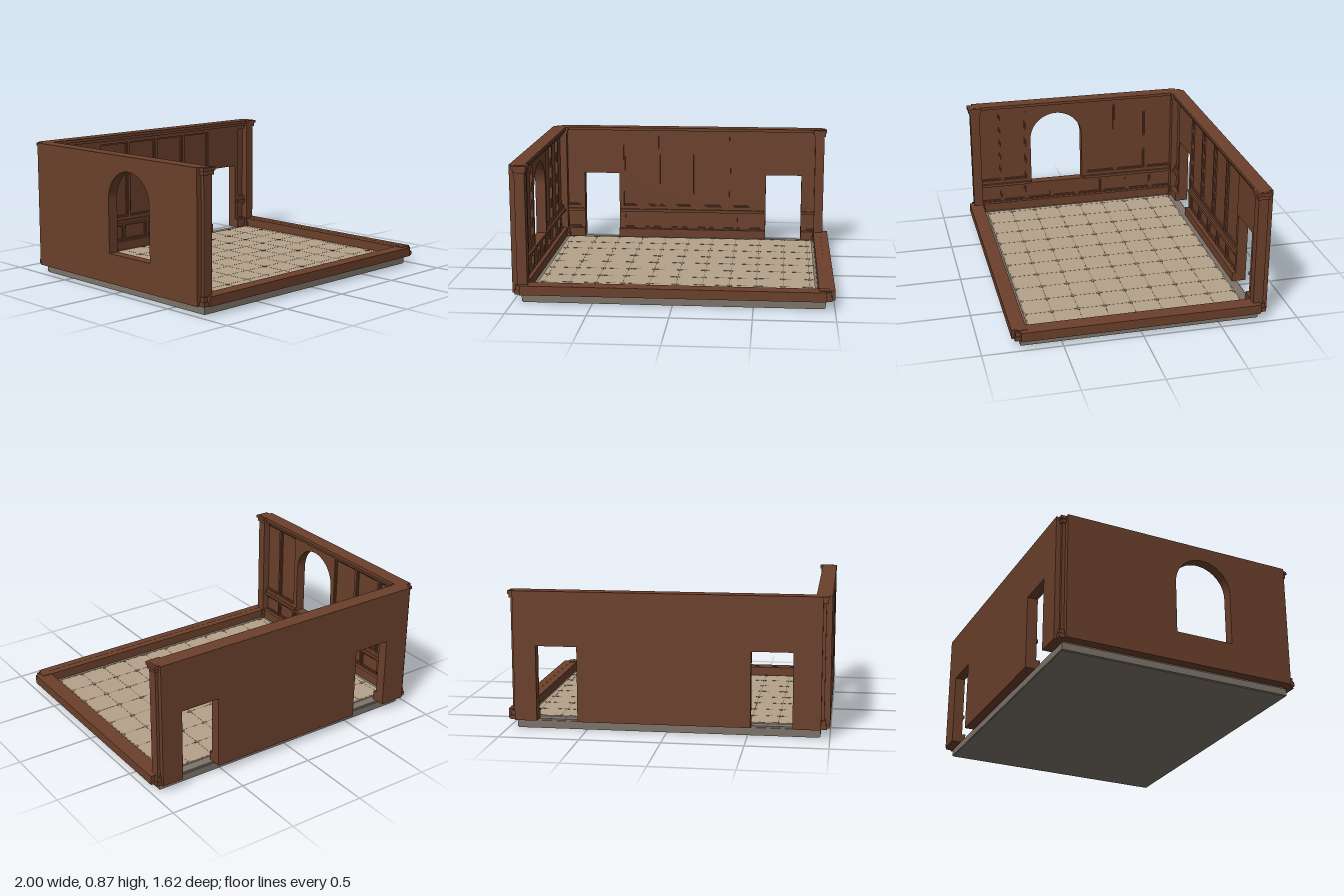
import * as THREE from 'three';

const wood = new THREE.MeshStandardMaterial({ color: 0x6b402b });
wood.name = 'brown wood';
const stone = new THREE.MeshStandardMaterial({ color: 0x7d746a });
stone.name = 'grey stone';
const tile = new THREE.MeshStandardMaterial({ color: 0xb5a28a });
tile.name = 'tan tile';
const inset = new THREE.MeshStandardMaterial({ color: 0x7a6a58 });
inset.name = 'dark inset tile';

const BOTTOM = 0.06, TOP = 0.872, CURB = 0.12;

function box(parent, name, mat, x0, x1, y0, y1, z0, z1) {
  const mesh = new THREE.Mesh(new THREE.BoxGeometry(x1 - x0, y1 - y0, z1 - z0), mat);
  mesh.position.set((x0 + x1) / 2, (y0 + y1) / 2, (z0 + z1) / 2);
  mesh.name = name;
  parent.add(mesh);
  return mesh;
}

function rect(T, x0, x1, y0, y1) {
  const p = new T();
  p.moveTo(x0, y0);
  p.lineTo(x1, y0);
  p.lineTo(x1, y1);
  p.lineTo(x0, y1);
  p.closePath();
  return p;
}

function extrude(parent, name, shape, z0, z1) {
  const geo = new THREE.ExtrudeGeometry(shape, { depth: z1 - z0, bevelEnabled: false, curveSegments: 14 });
  const mesh = new THREE.Mesh(geo, wood);
  mesh.position.z = z0;
  mesh.name = name;
  parent.add(mesh);
}

// Wall outline with door notches reaching the floor
function wallShape(x0, x1, doors, arch) {
  const s = new THREE.Shape();
  s.moveTo(x0, BOTTOM);
  for (const [a, b, h] of doors) {
    s.lineTo(a, BOTTOM);
    s.lineTo(a, h);
    s.lineTo(b, h);
    s.lineTo(b, BOTTOM);
  }
  s.lineTo(x1, BOTTOM);
  s.lineTo(x1, TOP);
  s.lineTo(x0, TOP);
  s.closePath();
  if (arch) {
    const p = new THREE.Path();
    p.moveTo(arch.x - arch.r, arch.sill);
    p.lineTo(arch.x + arch.r, arch.sill);
    p.lineTo(arch.x + arch.r, arch.spring);
    p.absarc(arch.x, arch.spring, arch.r, 0, Math.PI, false);
    p.closePath();
    s.holes.push(p);
  }
  return s;
}

// A wall stands with its outer face at z = 0 and its panelled face towards +z
function buildWall(name, o) {
  const g = new THREE.Group();
  g.name = name;
  extrude(g, 'wallCore', wallShape(o.x0, o.x1, o.doors, o.arch), 0, 0.05);

  // Recessed panels with a stepped bead
  const panelling = wallShape(o.in0, o.in1, o.doors, o.arch);
  const panels = [
    ...o.upper.map(([a, b]) => [a, b, 0.29, 0.81]),
    ...o.lower.map(([a, b]) => [a, b, CURB + 0.003, 0.23]),
  ];
  for (const [a, b, c, d] of panels) {
    panelling.holes.push(rect(THREE.Path, a, b, c, d));
    const bead = rect(THREE.Shape, a, b, c, d);
    bead.holes.push(rect(THREE.Path, a + 0.009, b - 0.009, c + 0.009, d - 0.009));
    extrude(g, 'panelBead', bead, 0.049, 0.059);
  }
  extrude(g, 'panelling', panelling, 0.049, 0.068);

  // Rails, baseboards and crown
  for (const [a, b] of o.rails) {
    box(g, 'chairRail', wood, a, b, 0.246, 0.266, 0.05, 0.082);
  }
  for (const [a, b] of o.bases) {
    box(g, 'baseboard', wood, a, b, BOTTOM, CURB, 0.05, 0.092);
  }
  [[0.818, 0.834, 0.075], [0.834, 0.852, 0.085], [0.852, TOP, 0.097]].forEach(([a, b, d]) =>
    box(g, 'crown', wood, o.in0, o.in1, a, b, 0.05, d));
  return g;
}

// Corner post with a wider foot, and a cap when it is tall
function cornerPost(parent, sx, sz, height) {
  const g = new THREE.Group();
  g.name = 'cornerPost';
  const put = (name, grow, y0, y1) => {
    const m = box(g, name, wood, -0.032 - grow, 0.032 + grow, y0, y1, -0.032 - grow, 0.032 + grow);
    m.position.x = sx * 0.933;
    m.position.z = sz * 0.746;
  };
  put('foot', 0.016, BOTTOM, 0.088);
  put('foot', 0.01, 0.088, 0.116);
  put('post', 0, BOTTOM, height);
  if (height > 0.5) {
    put('cap', 0.008, 0.826, 0.85);
    put('cap', 0.015, 0.85, height - 0.002);
  }
  parent.add(g);
}

export function createModel() {
  const model = new THREE.Group();
  model.name = 'panelledRoom';

  // Foundation slab with a slightly narrower foot and lip
  box(model, 'slab', stone, -0.943, 0.943, 0.006, 0.05, -0.757, 0.757);
  box(model, 'slabFoot', stone, -0.938, 0.938, 0, 0.006, -0.752, 0.752);
  box(model, 'slabLip', stone, -0.935, 0.935, 0.05, BOTTOM, -0.749, 0.749);

  // Tiled floor with narrow joints and diamond insets
  const floor = new THREE.Group();
  floor.name = 'floor';
  model.add(floor);
  const step = 0.1705, fx = 0.885, fz = 0.69, fy = 0.066;
  box(floor, 'floorTiles', tile, -fx, fx, BOTTOM, fy, -fz, fz);
  for (let i = -5; i <= 5; i++) {
    box(floor, 'joint', inset, i * step - 0.0015, i * step + 0.0015, fy - 0.001, fy + 0.0006, -fz, fz);
  }
  for (let j = -4; j <= 4; j++) {
    box(floor, 'joint', inset, -fx, fx, fy - 0.001, fy + 0.0006, j * step - 0.0015, j * step + 0.0015);
  }
  for (let i = -5; i <= 5; i++) {
    for (let j = -4; j <= 4; j++) {
      const edge = Math.abs(j) === 4;
      const d = new THREE.Mesh(new THREE.CylinderGeometry(0.021, 0.021, 0.003, edge ? 2 : 4, 1, false,
        edge && j < 0 ? -Math.PI / 2 : edge ? Math.PI / 2 : 0, edge ? Math.PI : Math.PI * 2), inset);
      d.position.set(i * step, fy, j * step);
      d.name = 'diamondInset';
      floor.add(d);
    }
  }

  // Back wall with two doorways
  const back = buildWall('backWall', {
    x0: -0.947, x1: 0.947, in0: -0.945, in1: 0.945,
    doors: [[-0.775, -0.52, 0.532], [0.55, 0.807, 0.532]],
    upper: [[-0.925, -0.8], [-0.487, -0.25], [-0.23, 0.005], [0.025, 0.268], [0.285, 0.522], [0.838, 0.925]],
    lower: [[-0.925, -0.8], [-0.487, -0.295], [-0.278, -0.085], [-0.067, 0.118], [0.132, 0.32],
      [0.336, 0.522], [0.838, 0.925]],
    rails: [[-0.945, -0.782], [-0.506, 0.54], [0.816, 0.942]],
    bases: [[-0.945, -0.775], [-0.52, 0.55], [0.807, 0.945]],
  });
  back.position.z = -0.81;
  model.add(back);

  // Side wall with an arched window
  const side = buildWall('archWall', {
    x0: -0.757, x1: 0.757, in0: -0.755, in1: 0.755, doors: [],
    arch: { x: -0.155, r: 0.19, sill: 0.25, spring: 0.59 },
    upper: [[-0.735, -0.567], [-0.553, -0.38], [0.07, 0.282], [0.302, 0.512], [0.53, 0.735]],
    lower: [[-0.735, -0.567], [-0.557, -0.39], [-0.378, -0.2], [-0.188, -0.01], [0.004, 0.18],
      [0.194, 0.376], [0.39, 0.56], [0.575, 0.735]],
    rails: [[-0.755, -0.355], [0.047, 0.755]],
    bases: [[-0.755, 0.755]],
  });
  side.rotation.y = Math.PI / 2;
  side.position.x = -1;
  model.add(side);

  // Low curbs on the two open sides
  box(model, 'frontCurb', wood, -0.947, 0.947, BOTTOM, CURB, 0.76, 0.808);
  box(model, 'frontBaseboard', wood, -0.945, 0.945, BOTTOM, CURB - 0.001, 0.715, 0.76);
  box(model, 'rightCurb', wood, 0.95, 1, BOTTOM, CURB, -0.757, 0.757);
  box(model, 'rightBaseboard', wood, 0.9, 0.95, BOTTOM, CURB - 0.001, -0.755, 0.755);

  // Corner posts
  cornerPost(model, -1, -1, TOP);
  cornerPost(model, 1, -1, TOP);
  cornerPost(model, -1, 1, TOP);
  cornerPost(model, 1, 1, CURB + 0.003);
  return model;
}
